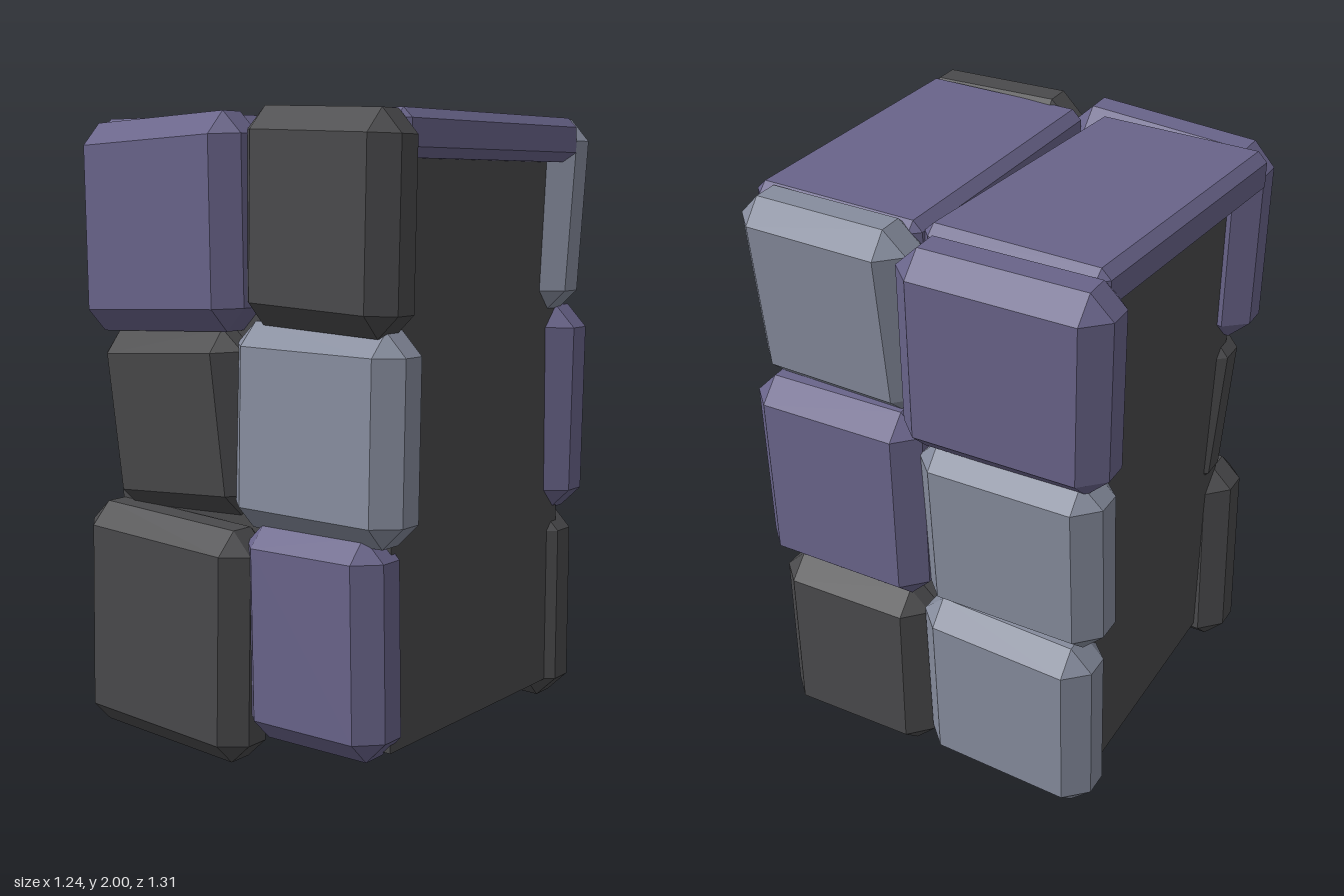
import * as THREE from 'three';
import { ConvexGeometry } from 'three/addons/geometries/ConvexGeometry.js';

const mat = (name, color) => new THREE.MeshStandardMaterial({ name, color, flatShading: true });

// Chamfered box centred on the origin; skew(point) then moves every vertex by a rule
function chamferedBox(w, h, d, chamfer, skew) {
  const half = [w / 2, h / 2, d / 2];
  const points = [];
  for (let i = 0; i < 8; i++) {
    const sign = [0, 1, 2].map((bit) => ((i >> bit) & 1 ? 1 : -1));
    for (let axis = 0; axis < 3; axis++) {
      const p = half.map((size, k) => sign[k] * (k === axis ? size : size - chamfer));
      points.push(skew(new THREE.Vector3(...p)));
    }
  }
  return new ConvexGeometry(points);
}

export function createModel() {
  const group = new THREE.Group();
  group.name = 'stonePillar';
  const dark = mat('darkStone', 0x4a4a4c);
  const purple = mat('purpleStone', 0x69648a);
  const blue = mat('blueGreyStone', 0x868c9d);

  const add = (name, geometry, material, x, y, z) => {
    const mesh = new THREE.Mesh(geometry, material);
    mesh.name = name;
    mesh.position.set(x, y, z);
    group.add(mesh);
  };

  // Facing stone: centre, size, then how far it is sheared across its width and height.
  // rise: y over width, lean: x over height, yaw: z over width, pitch: z over height
  const depth = 0.22;
  const stone = (name, material, x, y, w, h, outerZ, { rise = 0, lean = 0, yaw = 0, pitch = 0 }) => {
    const skew = (p) => new THREE.Vector3(
      p.x + (lean * p.y) / h,
      p.y + (rise * p.x) / w,
      p.z + (yaw * p.x) / w + (pitch * p.y) / h,
    );
    const z = outerZ - (Math.sign(outerZ) * depth) / 2;
    add(name + 'Stone', chamferedBox(w, h, depth, 0.07, skew), material, x, y, z);
  };

  // Plain core behind the stones
  add('core', new THREE.BoxGeometry(1.06, 1.78, 0.97), dark, 0, 1.01, 0.005);

  // Front stones, top to bottom
  stone('frontTopRight', purple, -0.28, 1.65, 0.67, 0.65, 0.63, { rise: 0.03, yaw: 0.03, pitch: 0.01 });
  stone('frontTopLeft', dark, 0.315, 1.67, 0.57, 0.64, 0.61, { rise: -0.025, lean: 0.02, yaw: 0.03, pitch: 0.01 });
  stone('frontMiddleRight', dark, -0.26, 1.04, 0.58, 0.58, 0.58, { rise: 0.035, lean: -0.02, yaw: 0.02, pitch: 0.06 });
  stone('frontMiddleLeft', blue, 0.295, 1.055, 0.62, 0.62, 0.6, { rise: -0.01, lean: -0.01, yaw: 0.01, pitch: -0.03 });
  stone('frontBottomRight', dark, -0.265, 0.385, 0.685, 0.735, 0.64, { rise: -0.035, lean: 0.025, yaw: 0.03, pitch: 0.01 });
  stone('frontBottomLeft', purple, 0.295, 0.435, 0.51, 0.67, 0.615, { lean: -0.01, yaw: 0.01 });

  // Back stones, top to bottom
  stone('backTopRight', purple, -0.29, 1.655, 0.65, 0.65, -0.64, { rise: 0.015, yaw: -0.03, pitch: -0.01 });
  stone('backTopLeft', blue, 0.305, 1.68, 0.58, 0.62, -0.59, { rise: -0.015, lean: 0.01, yaw: 0.03, pitch: -0.06 });
  stone('backMiddleRight', blue, -0.3, 1.04, 0.61, 0.62, -0.61, { rise: -0.02, lean: 0.01, yaw: 0.01, pitch: -0.025 });
  stone('backMiddleLeft', purple, 0.295, 1.05, 0.6, 0.68, -0.61, { rise: -0.02, lean: 0.01, yaw: 0.01 });
  stone('backBottomRight', blue, -0.29, 0.415, 0.59, 0.65, -0.615, { rise: 0.02, lean: 0.01, pitch: -0.01 });
  stone('backBottomLeft', dark, 0.28, 0.385, 0.555, 0.65, -0.6, { rise: -0.02, yaw: 0.005 });

  // Cap slabs: drift is the x shift from back to front
  const slab = (name, x, w, drift, yaw, fall) => {
    const length = 0.96;
    const skew = (p) => new THREE.Vector3(
      p.x + (drift * p.z) / length,
      p.y - (fall * p.z) / length,
      p.z + (yaw * p.x) / w,
    );
    add(name, chamferedBox(w, 0.14, length, 0.03, skew), purple, x, 1.915, 0);
  };
  slab('rightCapSlab', -0.3, 0.58, -0.08, 0.01, 0.01);
  slab('leftCapSlab', 0.3, 0.57, -0.03, 0.01, 0);
  return group;
}
